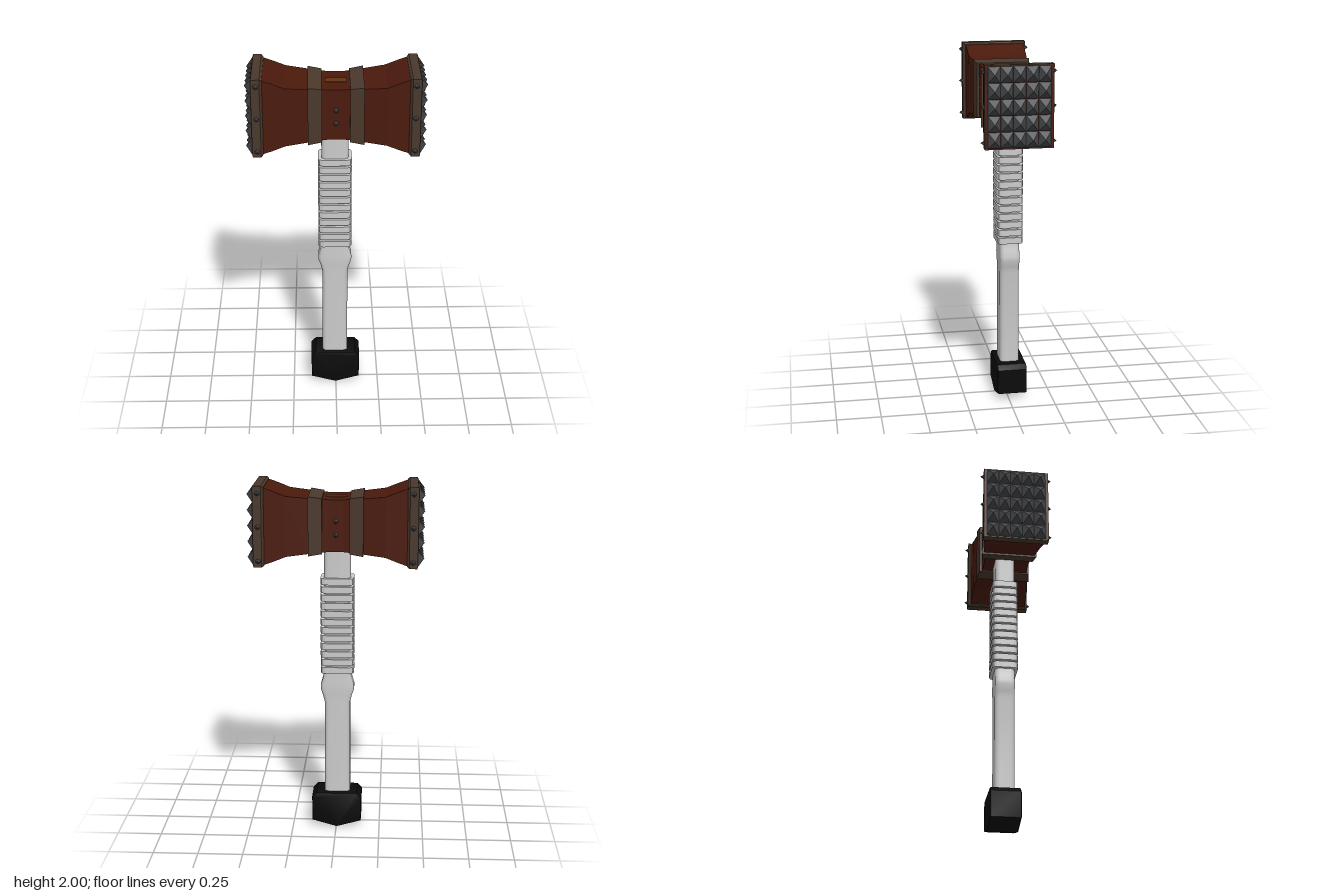
import * as THREE from 'three';
import { toCreasedNormals } from 'three/addons/utils/BufferGeometryUtils.js';

const paint = (color) => new THREE.MeshStandardMaterial({ color });
const GREY = paint(0xcccccc), WOOD = paint(0x4a1a0c), BAND = paint(0x4a382c);
const INLAY = paint(0x5e3510), IRON = paint(0x444648), BLACK = paint(0x0b0b0b);

// Rectangle outline with corners cut by `cut` in `steps` segments (0 = sharp)
function outline(hw, hd, cut = 0, steps = 0) {
  const pts = [];
  const signs = [[1, 1], [-1, 1], [-1, -1], [1, -1]];
  signs.forEach(([su, sv], q) => {
    if (!steps) pts.push([su * hw, sv * hd]);
    else for (let i = 0; i <= steps; i++) {
      const a = (q + i / steps) * Math.PI / 2;
      pts.push([su * (hw - cut) + cut * Math.cos(a), sv * (hd - cut) + cut * Math.sin(a)]);
    }
  });
  return pts;
}

// Capped loft along y through sections [y, halfWidth, halfDepth]
function loft(sections, cut = 0, steps = 0, crease = 0.05) {
  const pos = [], idx = [];
  const rings = sections.map(([, hw, hd]) => outline(hw, hd, cut, steps));
  const n = rings[0].length;
  rings.forEach((ring, r) => ring.forEach(([u, v]) => pos.push(u, sections[r][0], -v)));
  for (let r = 0; r < rings.length - 1; r++) {
    for (let i = 0; i < n; i++) {
      const a = r * n + i, b = r * n + (i + 1) % n;
      idx.push(a, b, b + n, a, b + n, a + n);
    }
  }
  const top = (rings.length - 1) * n;
  for (let i = 1; i < n - 1; i++) {
    idx.push(0, i + 1, i, top, top + i, top + i + 1);
  }
  const geo = new THREE.BufferGeometry();
  geo.setAttribute('position', new THREE.Float32BufferAttribute(pos, 3));
  geo.setIndex(idx);
  return toCreasedNormals(geo, crease);
}

function add(parent, name, geo, mat, x = 0, y = 0, z = 0) {
  const mesh = new THREE.Mesh(geo, mat);
  mesh.name = name;
  mesh.position.set(x, y, z);
  parent.add(mesh);
  return mesh;
}

function group(parent, name, x = 0, y = 0, z = 0) {
  const g = new THREE.Group();
  g.name = name;
  g.position.set(x, y, z);
  parent.add(g);
  return g;
}

function buildHead(parent) {
  const head = group(parent, 'head', 0, 1.778, 0);

  // Waisted wooden block, lofted sideways
  const half = [[0.04, 0.143, 0.13], [0.075, 0.146, 0.134], [0.15, 0.152, 0.147],
    [0.27, 0.165, 0.165], [0.34, 0.193, 0.165], [0.395, 0.212, 0.166], [0.447, 0.217, 0.18]];
  const mirrored = half.map(([x, h, d]) => [-x, h, d]).reverse();
  add(head, 'woodBlock', loft([...mirrored, ...half]).rotateZ(-Math.PI / 2), WOOD);
  add(head, 'handleEndInlay', new THREE.BoxGeometry(0.116, 0.02, 0.055), INLAY, 0, 0.138, -0.002);

  const stud = toCreasedNormals(new THREE.ConeGeometry(0.02, 0.026, 6).rotateX(Math.PI / 2), 0.1);
  const spike = toCreasedNormals(
    new THREE.ConeGeometry(Math.SQRT1_2, 1, 4).rotateY(Math.PI / 4), 0.1);
  spike.scale(0.085, 0.035, 0.066).rotateZ(-Math.PI / 2);

  for (const side of [1, -1]) {
    const end = group(head, side > 0 ? 'leftEnd' : 'rightEnd');
    end.rotation.y = side > 0 ? 0 : Math.PI;
    // Strap near the waist and frame around the striking face
    add(end, 'strap', loft([[0.075, 0.152, 0.147], [0.15, 0.163, 0.158]])
      .rotateZ(-Math.PI / 2), BAND);
    add(end, 'faceFrame', loft([[0.388, 0.213, 0.168], [0.4, 0.222, 0.183], [0.445, 0.222, 0.183]])
      .rotateZ(-Math.PI / 2), BAND);
    // Grid of tenderizing spikes
    for (let row = -2; row <= 2; row++) {
      for (let col = -2; col <= 2; col++) {
        add(end, 'spike', spike, IRON, 0.464, row * 0.086, col * 0.067);
      }
    }
    // Studs on the front and back of the frame
    for (const z of [1, -1]) {
      for (const y of [-0.188, 0, 0.183]) {
        add(end, 'frameStud', stud, IRON, 0.42, y, z * 0.189).rotation.y = z > 0 ? 0 : Math.PI;
      }
    }
  }
  for (const z of [1, -1]) {
    for (const y of [0.025, -0.05]) {
      add(head, 'waistStud', stud, IRON, 0, y, z * 0.136).rotation.y = z > 0 ? 0 : Math.PI;
    }
  }
}

function buildHandle(parent) {
  const handle = group(parent, 'handle', -0.005, 0, -0.015);

  // Rounded shaft with a swelling below the grip
  add(handle, 'shaft', loft([[0.18, 0.073, 0.055], [0.75, 0.072, 0.055], [0.79, 0.082, 0.055],
    [0.825, 0.094, 0.056], [0.85, 0.094, 0.056], [0.89, 0.082, 0.055], [0.93, 0.074, 0.055],
    [1.66, 0.074, 0.055]], 0.025, 4, 0.8), GREY);

  // Stacked grip rings
  const ring = loft([[-0.018, 0.093, 0.073], [0.018, 0.093, 0.073]], 0.025, 2);
  for (let i = 0; i < 12; i++) {
    add(handle, 'gripRing', ring, GREY, 0, 0.946 + i * 0.0465, 0);
  }
}

function buildPommel(parent) {
  // Block with a shallow pointed underside
  const b = 0.008;
  const shape = new THREE.Shape([[0, b], [0.132, 0.045], [0.134, 0.18], [0.112, 0.202],
    [-0.112, 0.202], [-0.134, 0.18], [-0.132, 0.045]].map(([x, y]) => new THREE.Vector2(x, y)));
  const geo = new THREE.ExtrudeGeometry(shape, {
    depth: 0.154, bevelThickness: b, bevelSize: b, bevelSegments: 2,
  });
  add(parent, 'pommel', toCreasedNormals(geo, 0.6), BLACK, -0.003, 0, -0.095);
}

export function createModel() {
  const model = new THREE.Group();
  model.name = 'warHammer';
  buildHead(model);
  buildHandle(model);
  buildPommel(model);
  return model;
}
